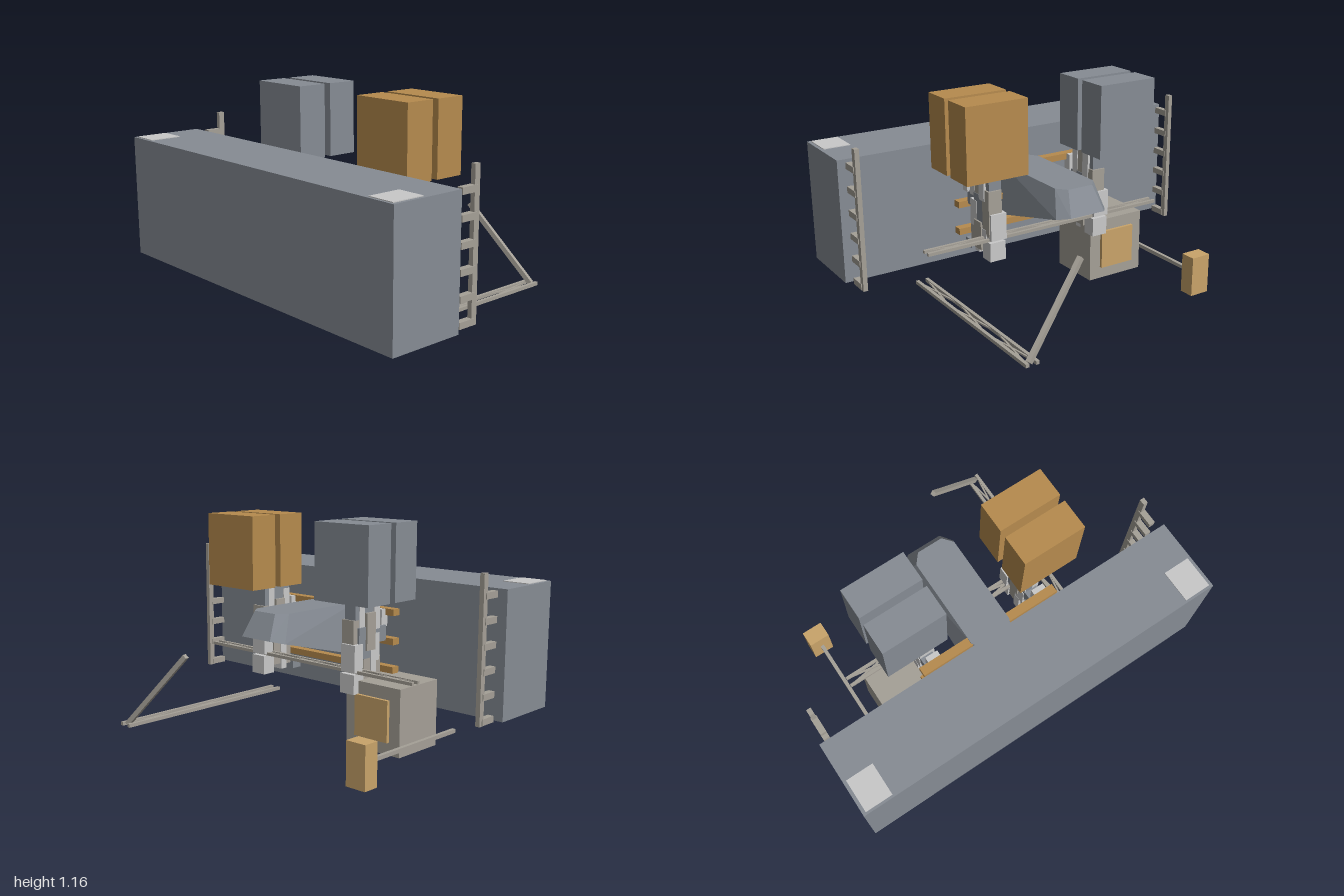
import * as THREE from 'three';
import { ConvexGeometry } from 'three/addons/geometries/ConvexGeometry.js';

const mat = (name, color) => {
  const m = new THREE.MeshStandardMaterial({ color });
  m.name = name;
  return m;
};

export function createModel() {
  const steel = mat('steel grey', 0x868c94);
  const stone = mat('warm grey', 0xa5a097);
  const pale = mat('pale grey', 0xc9c9c9);
  const ochre = mat('ochre', 0xb68b4e);
  const sand = mat('sand', 0xc9a46a);
  const model = new THREE.Group();
  model.name = 'station';

  // box given by its extents
  const box = (name, material, x0, x1, y0, y1, z0, z1, parent = model) => {
    const mesh = new THREE.Mesh(new THREE.BoxGeometry(x1 - x0, y1 - y0, z1 - z0), material);
    mesh.position.set((x0 + x1) / 2, (y0 + y1) / 2, (z0 + z1) / 2);
    mesh.name = name;
    parent.add(mesh);
    return mesh;
  };
  // square bar between two points
  const bar = (name, a, b, t, parent = model, h = t) => {
    const p = new THREE.Vector3(...a), q = new THREE.Vector3(...b);
    const mesh = new THREE.Mesh(new THREE.BoxGeometry(t, h, p.distanceTo(q)), stone);
    mesh.position.copy(p).add(q).multiplyScalar(0.5);
    mesh.lookAt(q);
    mesh.name = name;
    parent.add(mesh);
  };
  const group = (name) => {
    const g = new THREE.Group();
    g.name = name;
    model.add(g);
    return g;
  };

  // main slab with corner pads above and below
  box('mainSlab', steel, -1, 1, 0.215, 0.857, 0.33, 0.722);
  for (const s of [-1, 1]) {
    const x = s * 0.912;
    box('topPad', pale, x - 0.071, x + 0.071, 0.855, 0.861, 0.54, 0.71);
    box('bottomPad', pale, x - 0.071, x + 0.071, 0.211, 0.217, 0.54, 0.71);
  }

  // paired tanks over each side
  for (const [s, m] of [[1, ochre], [-1, steel]]) {
    const x = s * 0.386;
    box('frontTank', m, x - 0.17, x + 0.17, 0.775, 1.158, 0.05, 0.212);
    box('rearTank', m, x - 0.17, x + 0.17, 0.775, 1.158, -0.15, 0.013);
  }

  // central hull: chamfered octagon above, wider one on a sloping plane below
  const ring = (w, z0, z1, c, height) =>
    [[w - c, z0], [w, z0 + c * 1.2], [w, z1 - c * 1.6], [w - c, z1]].flatMap(([x, z]) =>
      [-1, 1].map((s) => new THREE.Vector3(s * x - 0.003, height(z), z)));
  const hull = new THREE.Mesh(new ConvexGeometry([
    ...ring(0.115, -0.278, 0.345, 0.044, () => 0.705),
    ...ring(0.147, -0.342, 0.36, 0.048, (z) => 0.58 - (z + 0.342) * 0.25),
  ]), steel);
  hull.name = 'centralHull';
  model.add(hull);

  // cross rails behind the slab
  for (const y of [0.685, 0.535, 0.387]) {
    box('crossRail', ochre, -0.4, 0.395, y - 0.017, y + 0.017, 0.238, 0.285);
  }

  // end ladders
  for (const s of [-1, 1]) {
    const ladder = group('ladder');
    const x = s * 0.956;
    box('ladderPost', stone, x - 0.012, x + 0.012, 0.215, 0.943, 0.182, 0.214, ladder);
    for (let i = 0; i < 6; i++) {
      const y = 0.234 + i * 0.1205;
      box('ladderRung', stone, x - 0.016, x + 0.016, y - 0.016, y + 0.016, 0.2, 0.293, ladder);
    }
  }

  // machinery blocks under the tanks: z0, z1, y0, y1, colour, half width
  const blocks = [
    [0.07, 0.18, 0.5, 0.775, steel, 0.03], [0.0, 0.05, 0.67, 0.8, steel, 0.035],
    [0.21, 0.255, 0.61, 0.7, pale, 0.035], [0.21, 0.27, 0.295, 0.34, steel, 0.03],
    [0.135, 0.18, 0.61, 0.75, pale, 0.042], [0.03, 0.08, 0.61, 0.76, pale, 0.042],
    [0.07, 0.135, 0.51, 0.7, stone, 0.047], [0.02, 0.14, 0.47, 0.63, steel, 0.043],
    [-0.01, 0.055, 0.43, 0.67, stone, 0.038], [-0.022, 0.04, 0.41, 0.55, pale, 0.045],
    [0.11, 0.175, 0.45, 0.59, pale, 0.045], [0.06, 0.13, 0.34, 0.49, stone, 0.046],
    [0.11, 0.15, 0.31, 0.45, pale, 0.04], [-0.02, 0.055, 0.3, 0.4, pale, 0.045],
    [0.02, 0.09, 0.4, 0.46, pale, 0.04], [0.13, 0.23, 0.54, 0.62, steel, 0.035],
    [0.14, 0.2, 0.33, 0.47, stone, 0.03], [0.08, 0.13, 0.68, 0.775, stone, 0.035],
  ];
  for (const s of [-1, 1]) {
    const machinery = group('machinery');
    blocks.forEach(([z0, z1, y0, y1, m, w], i) => {
      const x = s * 0.318 + ((i % 3) - 1) * 0.006;
      box('machineryBlock', m, x - w, x + w, y0, y1, z0, z1, machinery);
    });
  }

  // lower cabin with rear hatch
  box('lowerCabin', stone, -0.625, -0.285, 0.025, 0.367, 0.017, 0.313);
  box('cabinHatch', sand, -0.56, -0.352, 0.09, 0.302, 0, 0.018);

  // outrigger box on a boom
  box('outriggerBox', sand, -0.765, -0.652, 0, 0.218, -0.405, -0.32);
  bar('outriggerBoom', [-0.707, 0.11, -0.33], [-0.707, 0.11, 0.35], 0.02);

  // trusses: two parallel rails joined by crossed braces
  const truss = (name, at, u0, u1, v0, v1, bays, t) => {
    const g = group(name);
    for (const v of [v0, v1]) bar('trussRail', at(u0, v), at(u1, v), t, g);
    const step = (u1 - u0) / bays;
    for (let i = 0; i < bays; i++) {
      const a = u0 + i * step;
      bar('trussBrace', at(a, v0), at(a + step, v1), 0.009, g);
      bar('trussBrace', at(a, v1), at(a + step, v0), 0.009, g);
    }
  };
  truss('crossTruss', (u, v) => [u, 0.412, v], -0.71, 0.7, 0.003, 0.047, 5, 0.016);
  truss('rearTruss', (u, v) => [v, 0.11, u], -0.725, 0.355, 0.539, 0.594, 3, 0.018);

  // slanted arm at the end of the rear truss
  bar('slantedArm', [0.573, 0.11, -0.703], [0.222, 0.5, -0.6], 0.025);

  return model;
}
